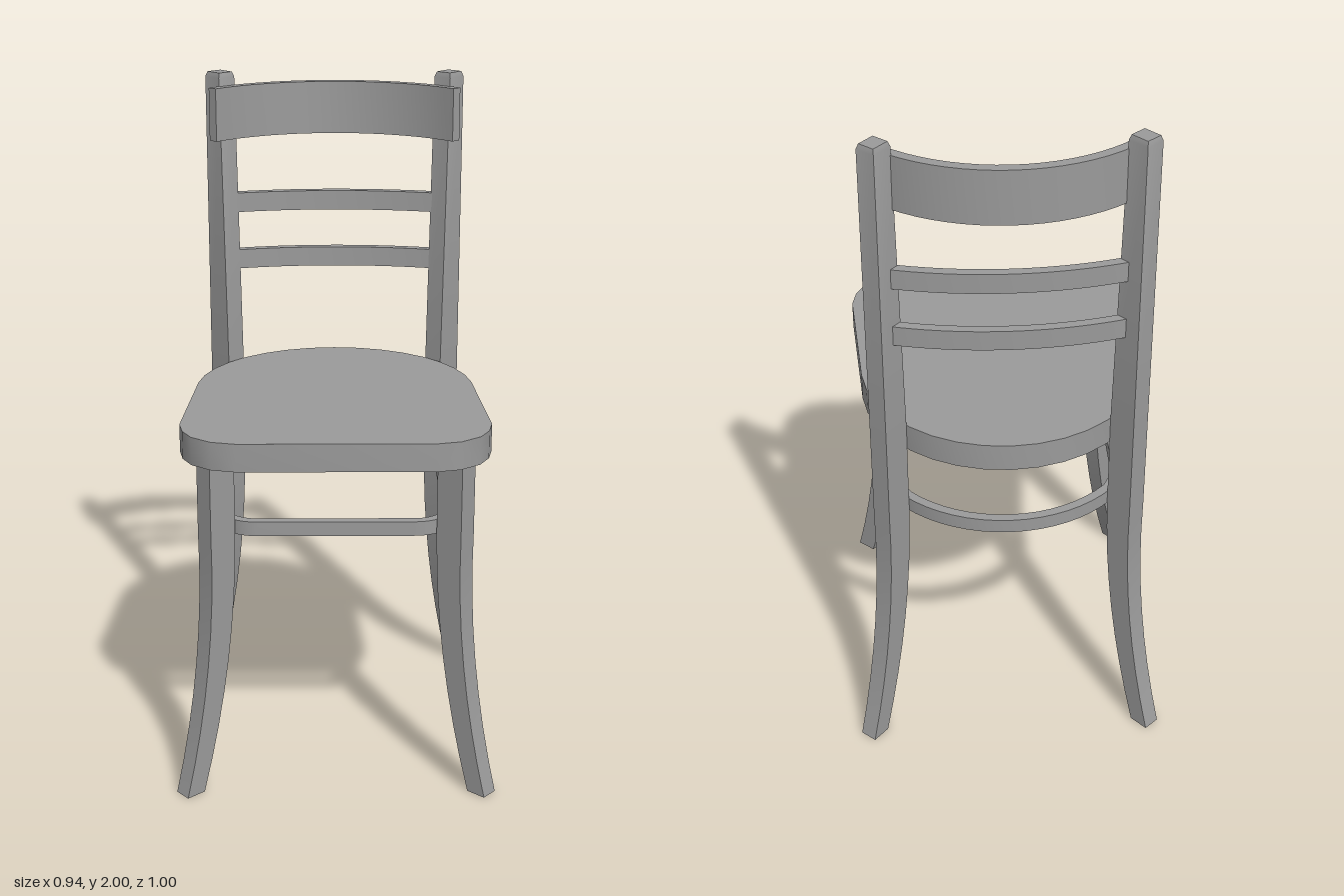
import * as THREE from 'three';
import { toCreasedNormals } from 'three/addons/utils/BufferGeometryUtils.js';

const material = new THREE.MeshStandardMaterial({ color: 0x9a9a9a });

function add(group, name, geometry) {
  const mesh = new THREE.Mesh(toCreasedNormals(geometry, 0.6), material);
  mesh.name = name;
  group.add(mesh);
}

// Plan shapes are drawn with y = -z, then extruded upward from y0 to y1.
function slab(shape, y0, y1, curveSegments) {
  const geometry = new THREE.ExtrudeGeometry(shape, { depth: y1 - y0, bevelEnabled: false, curveSegments });
  return geometry.rotateX(-Math.PI / 2).translate(0, y0, 0);
}

// Bent strip between two concentric arcs centred on z = zc, bulging backward.
function bentStrip(zc, inner, outer, halfAngle, y0, y1) {
  const a = Math.PI / 2 - halfAngle, b = Math.PI / 2 + halfAngle;
  const shape = new THREE.Shape();
  shape.absarc(0, -zc, outer, a, b, false);
  shape.absarc(0, -zc, inner, b, a, true);
  shape.closePath();
  return slab(shape, y0, y1, 10);
}

// Seat outline: round back, flaring sides, faceted front corners.
function seatShape() {
  const corner = [[0.28, -0.472], [0.35, -0.455], [0.407, -0.412], [0.435, -0.36], [0.447, -0.3]];
  const s = new THREE.Shape();
  s.moveTo(-0.28, -0.472);
  for (const [x, y] of corner) s.lineTo(x, y);
  s.absarc(0, 0.055, 0.42, 0.1, Math.PI - 0.1, false);
  for (const [x, y] of corner.reverse()) s.lineTo(-x, y);
  return s;
}

// Stretcher outline, inset by t for its inner edge.
function traceRing(path, t) {
  const x = 0.345 - t, front = -0.39 + t, r = 0.12 - t;
  path.moveTo(-x + r, front);
  path.lineTo(x - r, front);
  path.absarc(x - r, front + r, r, -Math.PI / 2, 0, false);
  path.lineTo(x, 0.21);
  path.quadraticCurveTo(x, 0.29 - t, (0.415 - t) * Math.cos(0.75), 0.06 + (0.415 - t) * Math.sin(0.75));
  path.absarc(0, 0.06, 0.415 - t, 0.75, Math.PI - 0.75, false);
  path.quadraticCurveTo(-x, 0.29 - t, -x, 0.21);
  path.lineTo(-x, front + r);
  path.absarc(-x + r, front + r, r, Math.PI, Math.PI * 1.5, false);
  return path;
}

// Splayed leg: stations are [y, width, depth, lean]; the foot curves out along (dx, dz).
function leg(x, z, dx, dz, splay, stations) {
  const n = stations.length - 1;
  const geometry = new THREE.BoxGeometry(1, 1, 1, 1, n, 1);
  const p = geometry.attributes.position;
  for (let i = 0; i < p.count; i++) {
    const [y, w, d, lean] = stations[Math.round((p.getY(i) + 0.5) * n)];
    const out = lean + splay * Math.max(0, 1 - y / 0.75) ** 2 + p.getZ(i) * d;
    const side = p.getX(i) * w;
    p.setXYZ(i, x + dx * out + dz * side, y, z + dz * out - dx * side);
  }
  return geometry;
}

export function createModel() {
  const chair = new THREE.Group();
  chair.name = 'chair';

  // Seat and stretcher ring
  add(chair, 'seat', slab(seatShape(), 1.012, 1.095, 8));
  const ring = traceRing(new THREE.Shape(), 0);
  ring.holes.push(traceRing(new THREE.Path(), 0.028));
  add(chair, 'stretcherRing', slab(ring, 0.787, 0.83, 8));

  // Back rest
  add(chair, 'topRail', bentStrip(0.05, 0.495, 0.525, 0.81, 1.8, 1.96));
  for (const y of [1.387, 1.567]) add(chair, 'backSlat', bentStrip(0.81, 1.212, 1.24, 0.272, y, y + 0.06));

  // Legs, tapering toward the floor; the back pair continue as posts
  const lower = [];
  for (let i = 0; i <= 8; i++) {
    const t = i / 8;
    lower.push([0.8 * t, 0.053 + 0.007 * t, 0.062 + 0.026 * t, 0]);
  }
  const frontStations = [...lower, [1.02, 0.06, 0.088, 0]];
  const backStations = [...lower, [1.1, 0.06, 0.088, 0], [1.985, 0.06, 0.066, 0.012], [2, 0.05, 0.056, 0.012]];
  for (const side of [1, -1]) {
    const label = side > 0 ? 'left' : 'right';
    add(chair, label + 'FrontLeg', leg(side * 0.342, 0.385, side * 0.75, 0.66, 0.117, frontStations));
    add(chair, label + 'BackLeg', leg(side * 0.342, -0.37, side * 0.66, -0.75, 0.12, backStations));
  }
  return chair;
}
